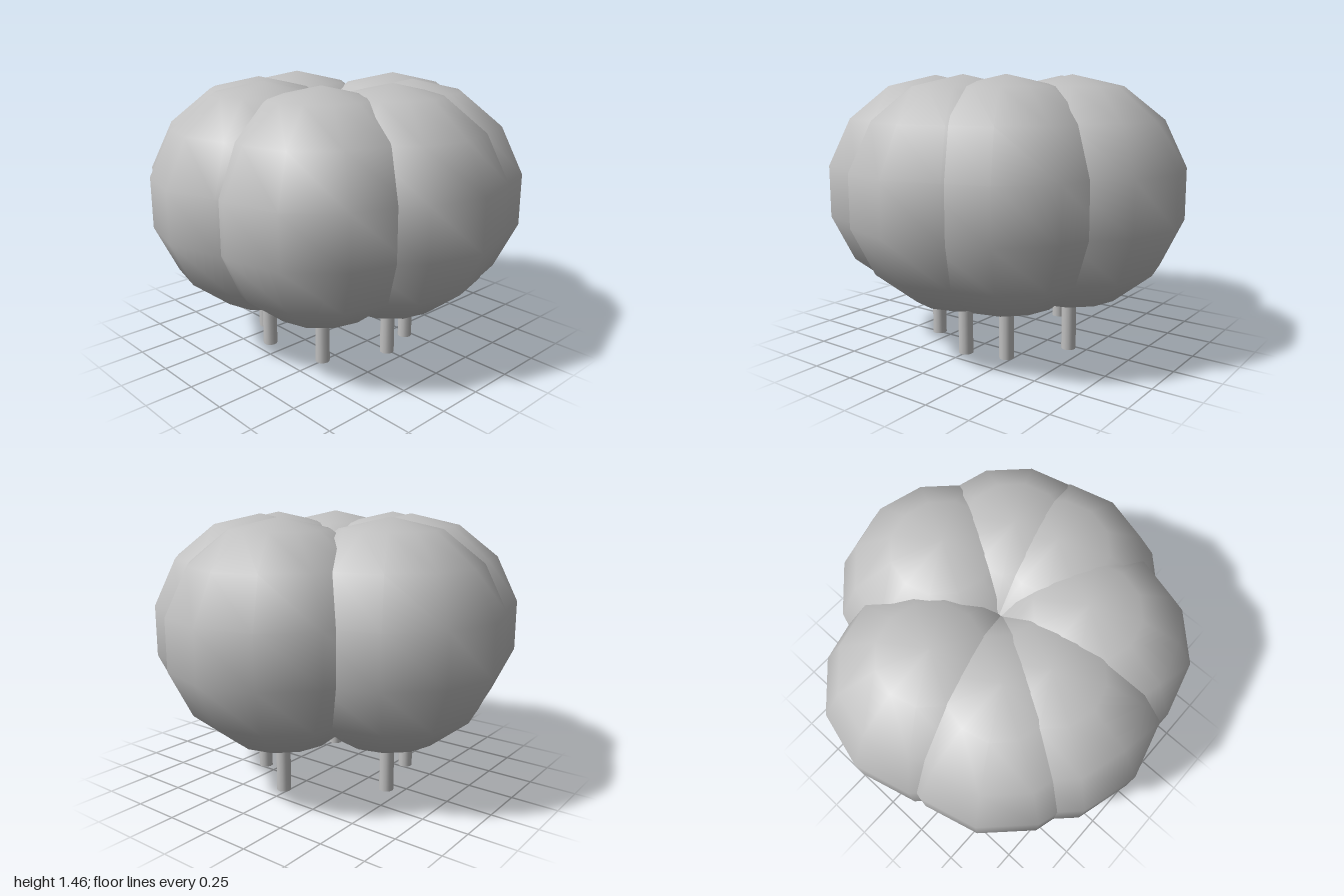
import * as THREE from 'three';

// Centre of each lobe in the ring: [x, z]
const LOBES = [
  [0.406, 0.005], [0.244, 0.335], [-0.113, 0.41], [-0.311, 0.288],
  [-0.411, -0.065], [0.03, -0.405], [0.34, -0.215],
];
const RADIUS = 0.606, CENTRE_Y = 0.858;
const LEG_RADIUS = 0.039, LEG_HEIGHT = 0.3;

export function createModel() {
  const model = new THREE.Group();
  model.name = 'lobedCluster';
  const grey = new THREE.MeshStandardMaterial({ color: 0xc0c0c0 });
  grey.name = 'grey';

  // Coarse, smooth-shaded sphere and a thin round leg, shared by all lobes
  const lobeGeometry = new THREE.SphereGeometry(RADIUS, 12, 7);
  const legGeometry = new THREE.CylinderGeometry(LEG_RADIUS, LEG_RADIUS, LEG_HEIGHT, 12);

  LOBES.forEach(([x, z], i) => {
    const unit = new THREE.Group();
    unit.name = `lobeWithLeg${i + 1}`;
    unit.position.set(x, 0, z);

    const lobe = new THREE.Mesh(lobeGeometry, grey);
    lobe.name = 'lobe';
    lobe.position.y = CENTRE_Y;

    const leg = new THREE.Mesh(legGeometry, grey);
    leg.name = 'leg';
    leg.position.y = LEG_HEIGHT / 2;

    unit.add(lobe, leg);
    model.add(unit);
  });
  return model;
}
